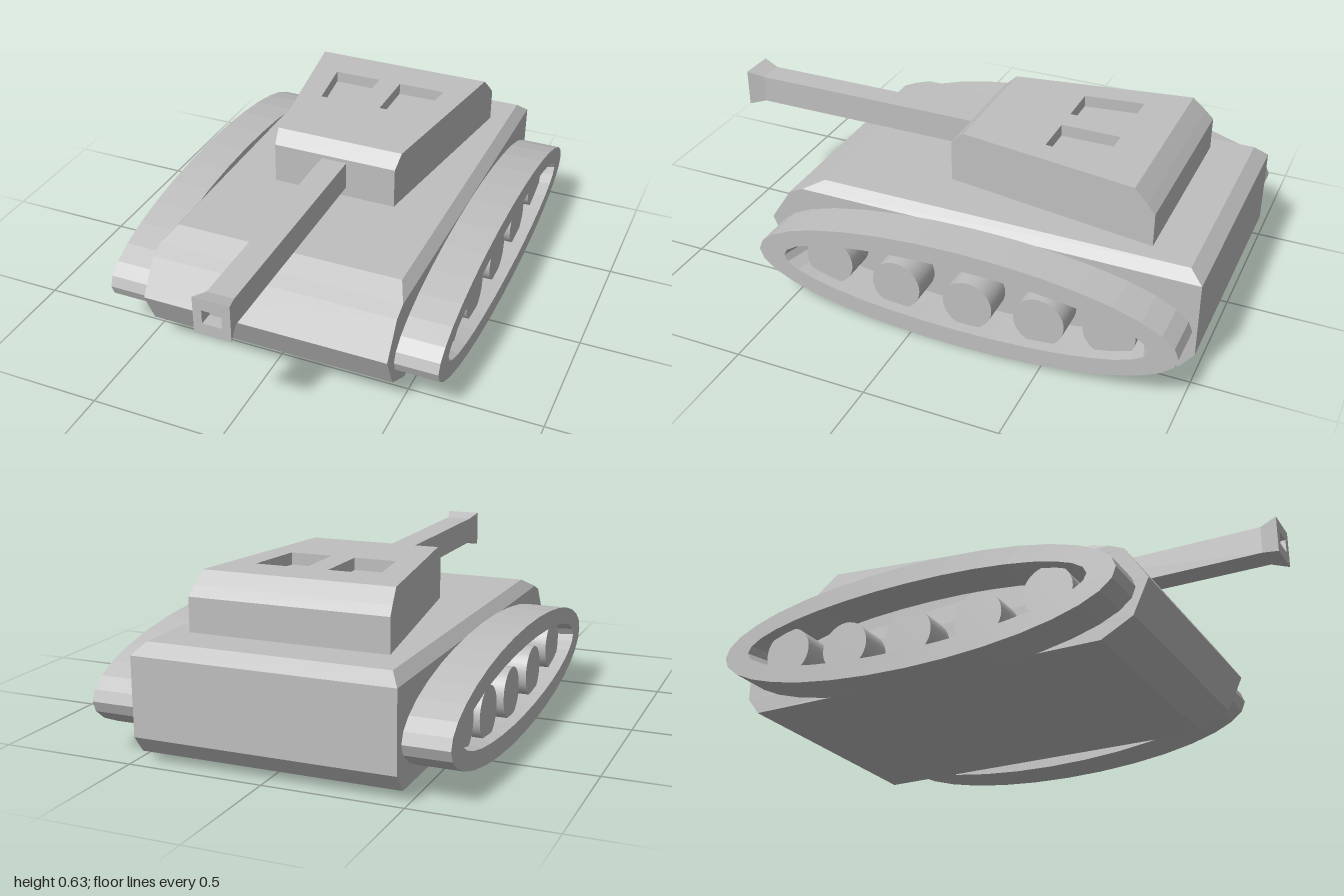
import * as THREE from 'three';

const grey = new THREE.MeshStandardMaterial({ color: 0xbfbfbf });
grey.name = 'plain grey';

// Skin through rings of [x, y, z] points that run counterclockwise about the first direction of travel
function loft(rings, capStart = false, capEnd = false) {
  const pos = [];
  const tri = (a, b, c) => pos.push(...a, ...b, ...c);
  for (let i = 0; i < rings.length - 1; i++) {
    const a = rings[i], b = rings[i + 1];
    for (let j = 0; j < a.length; j++) {
      const k = (j + 1) % a.length;
      tri(a[j], a[k], b[k]);
      tri(a[j], b[k], b[j]);
    }
  }
  const first = rings[0], last = rings[rings.length - 1];
  for (let j = 1; j < first.length - 1; j++) {
    if (capStart) tri(first[0], first[j + 1], first[j]);
    if (capEnd) tri(last[0], last[j], last[j + 1]);
  }
  const g = new THREE.BufferGeometry();
  g.setAttribute('position', new THREE.Float32BufferAttribute(pos, 3));
  g.computeVertexNormals();
  return g;
}

function add(parent, name, geometry) {
  const m = new THREE.Mesh(geometry, grey);
  m.name = name;
  parent.add(m);
  return m;
}

// Four-cornered level ring; half width may differ at front and back
const levelRing = (y, zf, zb, wf, wb = wf) =>
  [[wf, y, zf], [wb, y, zb], [-wb, y, zb], [-wf, y, zf]];

const ellipseRing = (x, a, b, n = 32) => Array.from({ length: n }, (_, i) => {
  const t = (i / n) * Math.PI * 2;
  return [x, 0.2 + b * Math.cos(t), -0.185 + a * Math.sin(t)];
});

function buildHull(group) {
  add(group, 'hull', loft([
    levelRing(0.035, 0.48, -0.95, 0.475),
    levelRing(0.1, 0.6, -1, 0.475),
    levelRing(0.23, 0.66, -1, 0.475),
    levelRing(0.36, 0.575, -1, 0.475),
    levelRing(0.385, 0.52, -1, 0.475),
    levelRing(0.425, 0.44, -0.95, 0.44),
  ], true, true));
}

function buildTurret(group) {
  const turret = new THREE.Group();
  turret.name = 'turret';
  const half = z => 0.245 + (0.015 - z) * 0.153;
  const ring = (y, zf, zb) => levelRing(y, zf, zb, half(zf), half(zb));
  const top = 0.63, topRing = ring(top, -0.035, -0.715);
  add(turret, 'turretWalls', loft([
    ring(0.425, 0.015, -0.795),
    ring(0.55, 0.015, -0.795),
    ring(0.583, 0.015, -0.764),
    topRing,
  ], true));

  // Roof with two sunken hatches
  const flat = pts => pts.map(([x, , z]) => new THREE.Vector2(x, -z));
  const roof = new THREE.Shape(flat(topRing));
  for (const s of [1, -1]) {
    const hatch = y => {
      const p = [[0.045, y, -0.335], [0.205, y, -0.335], [0.233, y, -0.56], [0.045, y, -0.56]];
      return s > 0 ? p : p.map(([x, yy, z]) => [-x, yy, z]).reverse();
    };
    roof.holes.push(new THREE.Path(flat(hatch(top))));
    add(turret, s > 0 ? 'leftHatch' : 'rightHatch', loft([hatch(top), hatch(top - 0.045)], false, true));
  }
  add(turret, 'turretRoof', new THREE.ShapeGeometry(roof).rotateX(-Math.PI / 2).translate(0, top, 0));
  group.add(turret);
}

// Square barrel with a flared muzzle and a shallow bore
function buildBarrel(group) {
  const square = (z, w, h) =>
    [[w, -h], [w, h], [-w, h], [-w, -h]].map(([x, y]) => [x, 0.516 + y, z]);
  add(group, 'barrel', loft([
    square(0.01, 0.05, 0.053),
    square(0.935, 0.05, 0.053),
    square(1, 0.068, 0.071),
    square(1, 0.036, 0.026),
    square(0.95, 0.036, 0.026),
  ], true, true));
}

// Oval track loop whose opening narrows towards the hull
function buildRunningGear(group, s) {
  const side = s > 0 ? 'left' : 'right';
  const xs = s > 0 ? [0.483, 0.645] : [-0.645, -0.483];
  const inner = s > 0 ? [0.65, 0.695] : [0.695, 0.65];
  add(group, side + 'Track', loft([
    ellipseRing(xs[0], 0.8, 0.2),
    ellipseRing(xs[1], 0.8, 0.2),
    ellipseRing(xs[1], inner[1], 0.13),
    ellipseRing(xs[0], inner[0], 0.13),
    ellipseRing(xs[0], 0.8, 0.2),
  ]));
  const wheels = [[0.345, 0.195], [0.075, 0.16], [-0.205, 0.155], [-0.475, 0.163], [-0.73, 0.193]];
  wheels.forEach(([z, y], i) => {
    const g = new THREE.CylinderGeometry(0.094, 0.094, 0.14, 32).rotateZ(Math.PI / 2);
    add(group, side + 'Wheel' + (i + 1), g).position.set(s * 0.53, y, z);
  });
}

export function createModel() {
  const group = new THREE.Group();
  group.name = 'tank';
  buildHull(group);
  buildTurret(group);
  buildBarrel(group);
  for (const s of [1, -1]) buildRunningGear(group, s);
  return group;
}
